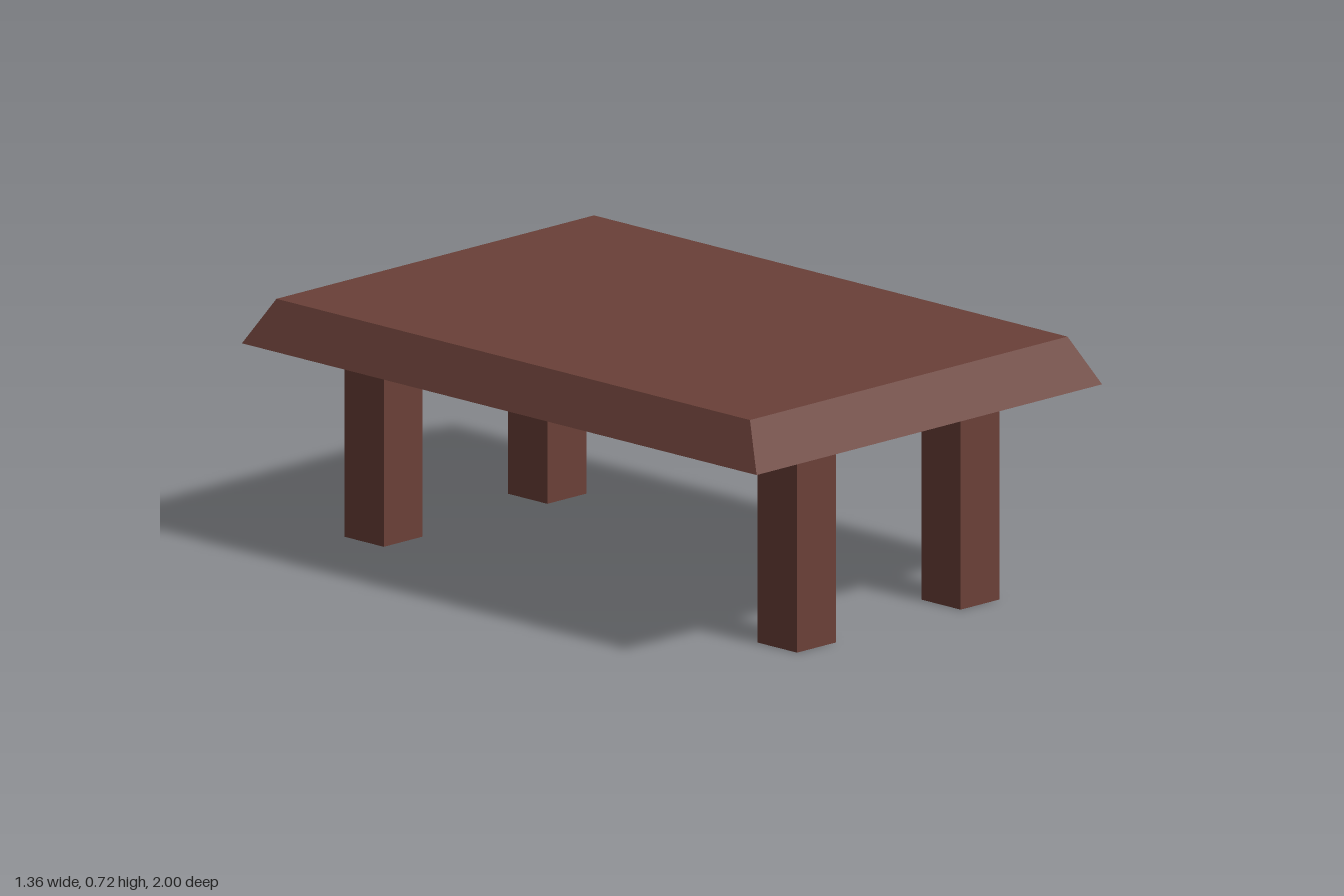
import * as THREE from 'three';

export function createModel() {
  const group = new THREE.Group();
  const wood = new THREE.MeshStandardMaterial({ color: 0x6a4038 });
  wood.name = 'darkWood';

  const legHeight = 0.585;
  const topHeight = 0.132;

  // Tabletop: a slab whose upper face is drawn in to bevel all four sides
  const topGeometry = new THREE.BoxGeometry(1.36, topHeight, 2);
  const pos = topGeometry.attributes.position;
  for (let i = 0; i < pos.count; i++) {
    if (pos.getY(i) > 0) {
      pos.setX(i, Math.sign(pos.getX(i)) * 0.625);
      pos.setZ(i, Math.sign(pos.getZ(i)) * 0.92);
    }
  }
  topGeometry.computeVertexNormals();
  const tabletop = new THREE.Mesh(topGeometry, wood);
  tabletop.name = 'tabletop';
  tabletop.position.y = legHeight + topHeight / 2;
  group.add(tabletop);

  // Four square legs
  const legGeometry = new THREE.BoxGeometry(0.153, legHeight, 0.153);
  for (const [side, sx] of [['Left', 1], ['Right', -1]]) {
    for (const [end, sz] of [['front', 1], ['back', -1]]) {
      const leg = new THREE.Mesh(legGeometry, wood);
      leg.name = `${end}${side}Leg`;
      leg.position.set(sx * 0.322, legHeight / 2, sz * 0.803);
      group.add(leg);
    }
  }

  return group;
}
